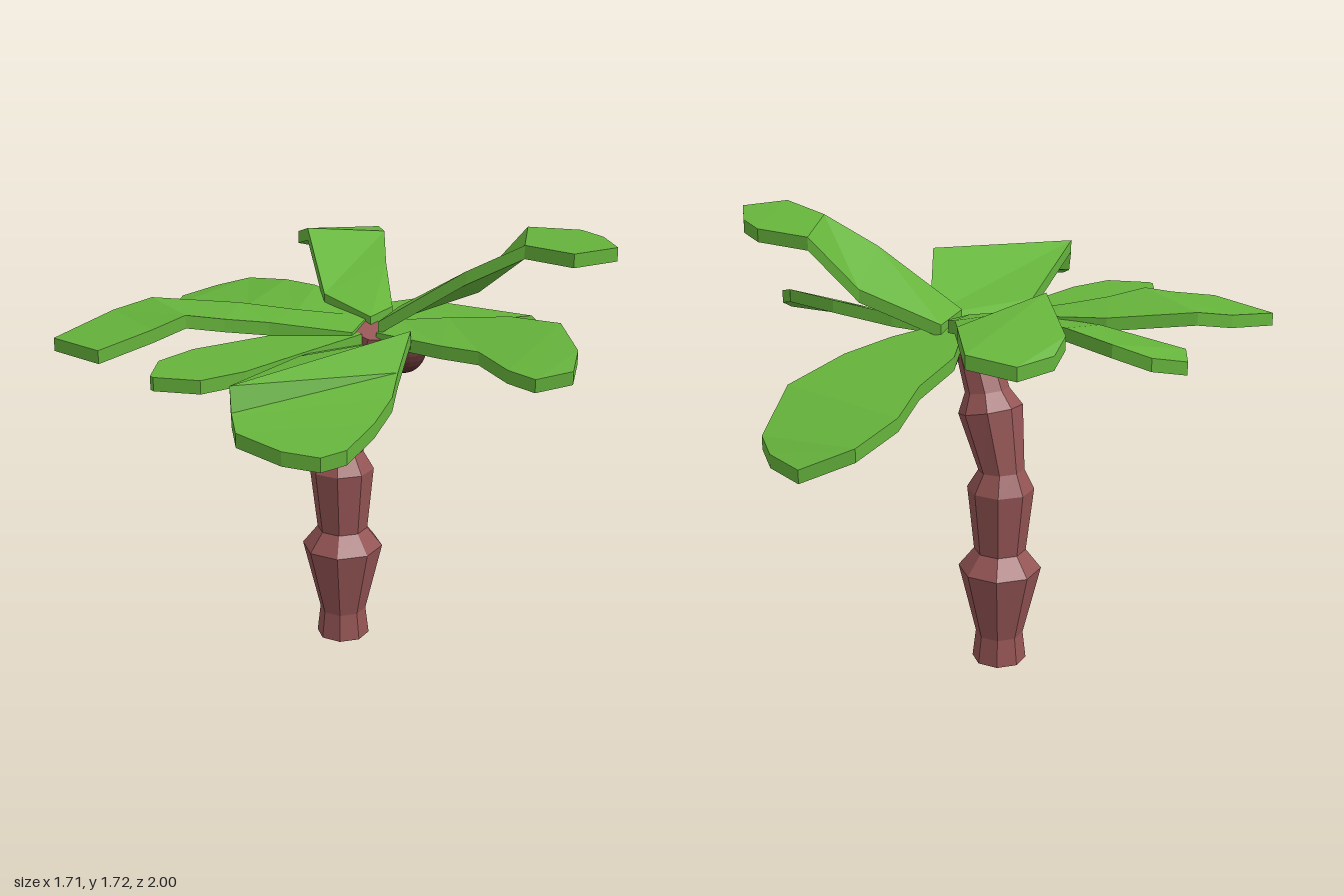
import * as THREE from 'three';

const green = new THREE.MeshStandardMaterial({ color: 0x66b43c, flatShading: true });
const bark = new THREE.MeshStandardMaterial({ color: 0x945454, flatShading: true });
const shell = new THREE.MeshStandardMaterial({ color: 0x5c3030, flatShading: true });

function meshFrom(positions, index, material, name) {
  const g = new THREE.BufferGeometry();
  g.setAttribute('position', new THREE.Float32BufferAttribute(positions, 3));
  g.setIndex(index);
  const flat = g.toNonIndexed();
  flat.computeVertexNormals();
  const mesh = new THREE.Mesh(flat, material);
  mesh.name = name;
  return mesh;
}

// Folded slab: left and right edges run from the base to the tip
function leaf(name, left, right, thick = 0.05) {
  const n = left.length, pos = [], idx = [];
  for (let i = 0; i < n; i++) {
    for (const [x, y, z] of [left[i], right[i]]) pos.push(x, y, z, x, y - thick, z);
  }
  const quad = (a, b, c, d) => idx.push(a, b, c, a, c, d);
  for (let i = 0; i < n - 1; i++) {
    const a = i * 4, b = a + 4; // top left, bottom left, top right, bottom right
    quad(a, a + 2, b + 2, b);
    quad(a + 1, b + 1, b + 3, a + 3);
    quad(a, b, b + 1, a + 1);
    quad(a + 2, a + 3, b + 3, b + 2);
  }
  const e = (n - 1) * 4;
  quad(0, 1, 3, 2);
  quad(e, e + 2, e + 3, e + 1);
  return meshFrom(pos, idx, green, name);
}

// Octagonal rings: centre x, height, radius, tilt
function trunk() {
  const sides = 8, z0 = 0.018, pos = [], idx = [];
  const rings = [
    [-0.18, 0, 0.105, 0], [-0.18, 0.11, 0.092, 0], [-0.18, 0.39, 0.16, 0],
    [-0.18, 0.465, 0.1, 0], [-0.182, 0.72, 0.128, 0], [-0.185, 0.795, 0.088, -0.06],
    [-0.12, 1.02, 0.124, -0.25], [-0.1, 1.09, 0.085, -0.2], [0.005, 1.33, 0.075, -0.35],
  ];
  for (const [cx, cy, r, tilt] of rings) {
    for (let s = 0; s < sides; s++) {
      const a = (s / sides) * Math.PI * 2, u = r * Math.cos(a);
      pos.push(cx + u * Math.cos(tilt), cy + u * Math.sin(tilt), z0 - r * Math.sin(a));
    }
  }
  for (let i = 0; i < rings.length - 1; i++) {
    for (let s = 0; s < sides; s++) {
      const a = i * sides + s, b = i * sides + (s + 1) % sides;
      idx.push(a, b, b + sides, a, b + sides, a + sides);
    }
  }
  const t = (rings.length - 1) * sides;
  for (let s = 1; s < sides - 1; s++) idx.push(0, s + 1, s, t, t + s, t + s + 1);
  return meshFrom(pos, idx, bark, 'trunk');
}

export function createModel() {
  const model = new THREE.Group();
  model.name = 'palmTree';
  model.add(trunk());

  // Coconuts under the crown
  for (const [x, y, z] of [[-0.18, 1.25, 0.11], [0.035, 1.228, -0.115]]) {
    const nut = new THREE.Mesh(new THREE.SphereGeometry(0.085, 16, 12), shell);
    nut.position.set(x, y, z);
    nut.name = 'coconut';
    model.add(nut);
  }

  model.add(
    leaf('backLeaf',
      [[-0.1, 1.34, -0.1], [-0.27, 1.32, -0.28], [-0.35, 1.28, -0.5], [-0.425, 1.22, -0.65], [-0.44, 1.16, -0.84], [-0.33, 1.09, -0.995]],
      [[0.03, 1.34, -0.1], [0.07, 1.32, -0.3], [0.09, 1.29, -0.5], [0.04, 1.245, -0.78], [-0.07, 1.13, -0.965], [-0.17, 1.1, -1]]),
    leaf('backLeftLeaf',
      [[-0.06, 1.37, -0.17], [0.17, 1.49, -0.37], [0.27, 1.69, -0.52], [0.46, 1.7, -0.61], [0.6, 1.705, -0.58]],
      [[0.05, 1.37, 0.02], [0.33, 1.59, -0.16], [0.5, 1.7, -0.285], [0.74, 1.715, -0.29], [0.77, 1.715, -0.475]]),
    leaf('leftLeaf',
      [[0.02, 1.35, -0.1], [0.17, 1.37, -0.22], [0.38, 1.4, -0.34], [0.58, 1.41, -0.4], [0.74, 1.36, -0.33]],
      [[0.05, 1.33, 0.03], [0.3, 1.32, -0.07], [0.44, 1.32, -0.13], [0.615, 1.3, -0.11], [0.73, 1.29, -0.135]].slice(0, 5)
    ),
    leaf('leftLeafTip',
      [[0.74, 1.36, -0.33], [0.8, 1.315, -0.25]],
      [[0.73, 1.29, -0.135], [0.799, 1.314, -0.245]]),
    leaf('frontLeftLeaf',
      [[0.08, 1.28, -0.09], [0.17, 1.33, -0.04], [0.505, 1.485, 0.245], [0.65, 1.41, 0.42], [0.73, 1.365, 0.51], [0.8, 1.325, 0.64], [0.85, 1.285, 0.79], [0.82, 1.27, 0.87]],
      [[-0.04, 1.28, 0.08], [0.1, 1.33, 0.42], [0.44, 1.42, 0.945], [0.44, 1.42, 0.945], [0.46, 1.335, 0.955], [0.47, 1.33, 0.96], [0.54, 1.3, 0.995], [0.71, 1.275, 0.94]]),
    leaf('frontLeaf',
      [[0.03, 1.33, 0.08], [0.08, 1.33, 0.4], [0.125, 1.33, 0.67], [0.11, 1.33, 0.845], [-0.02, 1.33, 0.952]],
      [[-0.04, 1.33, 0.08], [-0.17, 1.33, 0.36], [-0.205, 1.33, 0.67], [-0.165, 1.33, 0.84], [-0.04, 1.33, 0.952]]),
    leaf('frontRightLeaf',
      [[0.02, 1.34, 0.12], [-0.17, 1.38, 0.36], [-0.25, 1.4, 0.5], [-0.31, 1.425, 0.63], [-0.33, 1.39, 0.76], [-0.36, 1.345, 0.97]],
      [[-0.06, 1.36, -0.02], [-0.25, 1.38, 0.18], [-0.43, 1.39, 0.31], [-0.64, 1.41, 0.57], [-0.675, 1.38, 0.72], [-0.64, 1.33, 0.995]]),
    leaf('rightLeaf',
      [[-0.08, 1.35, 0.07], [-0.23, 1.37, 0.2], [-0.43, 1.37, 0.28], [-0.745, 1.33, 0.4], [-0.845, 1.325, 0.305]],
      [[-0.06, 1.37, -0.04], [-0.36, 1.42, 0], [-0.5, 1.42, 0.04], [-0.69, 1.395, 0.085], [-0.8, 1.355, 0.17]]),
    leaf('backRightLeaf',
      [[-0.02, 1.37, 0], [-0.24, 1.42, 0.05], [-0.565, 1.59, -0.115], [-0.8, 1.515, -0.24], [-0.855, 1.48, -0.34]],
      [[-0.05, 1.38, -0.13], [-0.31, 1.47, -0.31], [-0.53, 1.53, -0.48], [-0.71, 1.5, -0.595], [-0.855, 1.475, -0.5]]),
  );
  return model;
}
